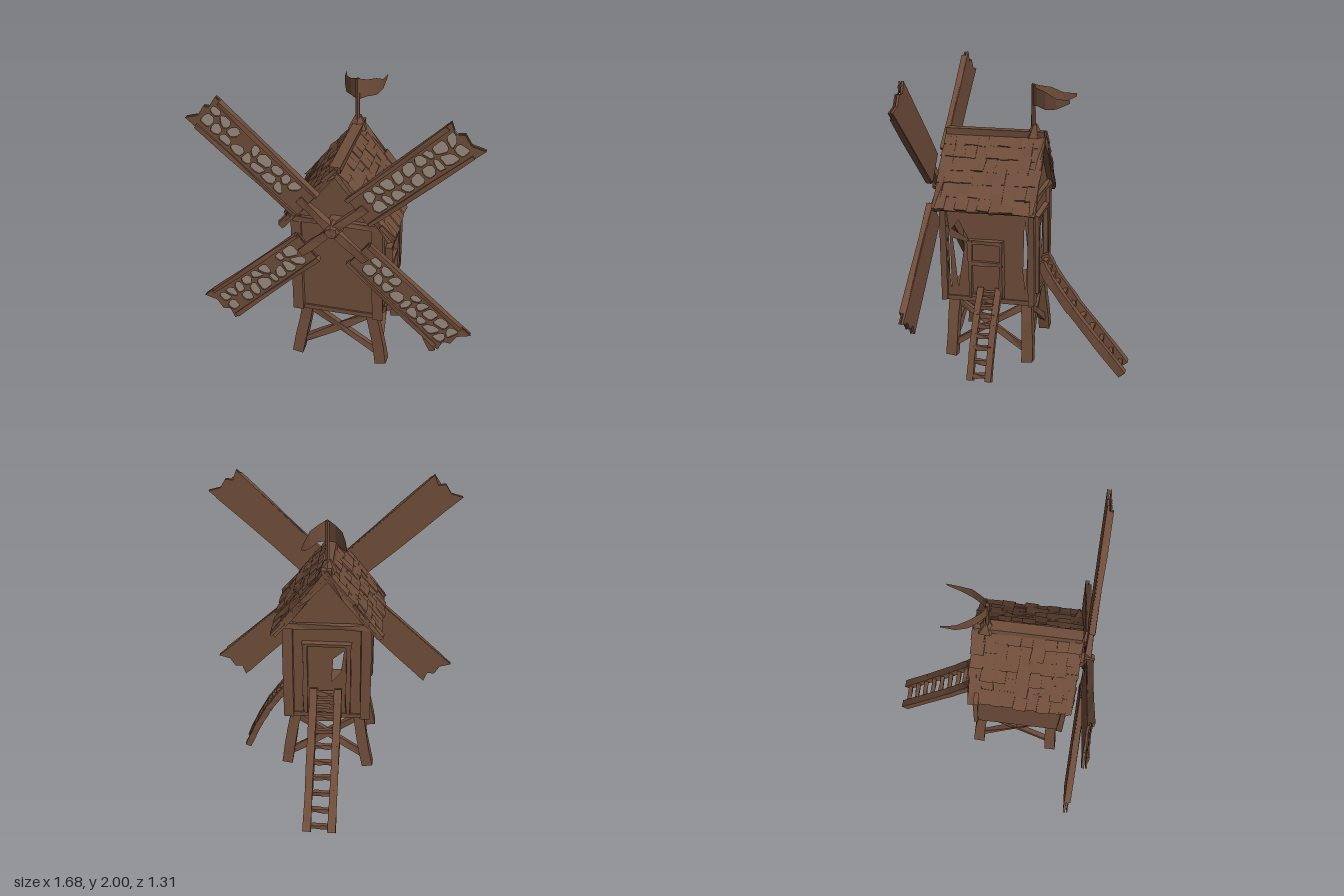
import * as THREE from 'three';

const wood = new THREE.MeshStandardMaterial({ color: 0x6f4d3a, flatShading: true });
wood.name = 'brownWood';
const cloth = new THREE.MeshStandardMaterial({ color: 0x9a8d80, flatShading: true });
cloth.name = 'greyCloth';
const woodBoth = wood.clone();
woodBoth.name = 'brownWoodThin';
woodBoth.side = THREE.DoubleSide;

const V = (x, y, z) => new THREE.Vector3(x, y, z);
let seed = 7;
const rnd = () => (seed = (seed * 16807) % 2147483647) / 2147483647;
const vary = (a) => (rnd() - 0.5) * 2 * a;

function add(parent, name, geo, mat = wood) {
  const m = new THREE.Mesh(geo, mat);
  m.name = name;
  parent.add(m);
  return m;
}

// Moves vertices a little, keeping shared corners together
function rough(geo, amt) {
  const p = geo.attributes.position, s = rnd() * 50;
  const h = (x, y, z, k) => Math.sin(x * 91.7 + y * 57.3 + z * 73.1 + k + s) * amt;
  for (let i = 0; i < p.count; i++) {
    const x = p.getX(i), y = p.getY(i), z = p.getZ(i);
    p.setXYZ(i, x + h(x, y, z, 1), y + h(x, y, z, 3), z + h(x, y, z, 5));
  }
  geo.computeVertexNormals();
  return geo;
}

// Squared timber from a to b; w is measured along the side vector
function beam(parent, name, a, b, w, d, side = V(1, 0, 0), amt = 0.004) {
  const dir = b.clone().sub(a), len = dir.length();
  dir.normalize();
  const x = side.clone().addScaledVector(dir, -side.dot(dir)).normalize();
  const geo = rough(new THREE.BoxGeometry(w, len, d, 1, 3, 1), amt);
  geo.applyMatrix4(new THREE.Matrix4().makeBasis(x, dir, x.clone().cross(dir)));
  geo.translate((a.x + b.x) / 2, (a.y + b.y) / 2, (a.z + b.z) / 2);
  return add(parent, name, geo);
}

const poly = (pts, C = THREE.Shape) => new C(pts.map(([x, y]) => new THREE.Vector2(x, y)));

// Flat wall facing outward, with broken gaps
function wall(parent, name, outline, holes, angle, x, z) {
  const s = poly(outline);
  s.holes = holes.map((h) => poly(h, THREE.Path));
  const m = add(parent, name, new THREE.ShapeGeometry(s));
  m.rotation.y = angle;
  m.position.set(x, 0, z);
}

function buildBody(g) {
  const rect = (a, b) => [[a, 0.54], [b, 0.54], [b, 1.2], [a, 1.2]];
  const gable = [[-0.26, 0.54], [0.26, 0.54], [0.26, 1.24], [0, 1.55], [-0.26, 1.24]];
  wall(g, 'frontWall', gable, [], 0, 0, 0.505);
  wall(g, 'backWall', gable, [[[0.03, 0.8], [0.09, 0.87], [0.11, 1.03], [0.04, 0.97]]], Math.PI, 0, -0.055);
  wall(g, 'rightWall', rect(-0.07, 0.52), [], -Math.PI / 2, -0.27, 0);
  wall(g, 'leftWall', rect(-0.52, 0.07), [
    [[-0.455, 1.01], [-0.35, 0.95], [-0.41, 1.07]],
    [[-0.45, 0.95], [-0.37, 0.93], [-0.42, 0.62]],
    [[-0.488, 1.13], [-0.468, 0.95], [-0.465, 0.6], [-0.485, 0.8]],
    [[0.005, 0.75], [0.02, 0.62], [0.035, 0.9], [0.015, 1.1]],
  ], Math.PI / 2, 0.26, 0);
  const floor = new THREE.BoxGeometry(0.54, 0.03, 0.58);
  floor.translate(0, 0.545, 0.225);
  add(g, 'floor', floor);

  // Corner posts and cross rails
  for (const s of [-1, 1]) {
    for (const z of [0.508, -0.06]) beam(g, 'cornerPost', V(s * 0.25, 0.53, z), V(s * 0.25, 1.23, z), 0.065, 0.035);
    beam(g, 'eaveRail', V(s * 0.255, 1.19, -0.07), V(s * 0.255, 1.19, 0.52), 0.04, 0.05);
  }
  for (const z of [0.512, -0.065]) beam(g, 'crossRail', V(-0.27, 1.21, z), V(0.27, 1.21, z), 0.035, 0.035, V(0, 1, 0));

  // Side door
  const door = new THREE.BoxGeometry(0.02, 0.36, 0.2);
  door.translate(0.265, 0.76, 0.23);
  add(g, 'sideDoor', door);
  for (const z of [0.13, 0.33]) beam(g, 'doorJamb', V(0.28, 0.57, z), V(0.28, 0.95, z), 0.025, 0.05, V(0, 0, 1));
  for (const y of [0.585, 0.8, 0.94]) beam(g, 'doorRail', V(0.278, y, 0.12), V(0.278, y, 0.34), 0.025, 0.045, V(0, 1, 0), 0.002);
  // Back door frame
  for (const x of [-0.14, 0.14]) beam(g, 'backJamb', V(x, 0.57, -0.065), V(x, 1.08, -0.065), 0.03, 0.04);
  beam(g, 'backLintel', V(-0.16, 1.08, -0.065), V(0.16, 1.08, -0.065), 0.03, 0.04, V(0, 1, 0));
}

function buildStand(g) {
  const top = (sx, sz) => V(sx * 0.205, 0.55, 0.215 + sz * 0.235);
  const foot = (sx, sz) => V(sx * 0.275, 0.145, 0.215 + sz * 0.255);
  const on = (sx, sz, t) => foot(sx, sz).lerp(top(sx, sz), t);
  for (const sx of [-1, 1]) for (const sz of [-1, 1]) beam(g, 'leg', foot(sx, sz), top(sx, sz), 0.07, 0.07);
  for (const s of [-1, 1]) for (const k of [-1, 1]) {
    beam(g, 'crossBrace', on(-k, s, 0.18), on(k, s, 0.92), 0.03, 0.045, V(0, 0, 1));
    beam(g, 'sideBrace', on(s, -k, 0.18), on(s, k, 0.92), 0.03, 0.04);
  }
}

function buildRoof(g) {
  const base = new THREE.ExtrudeGeometry(poly([[-0.34, 1.165], [-0.32, 1.14], [0, 1.53], [0.32, 1.14], [0.34, 1.165], [0, 1.575]]),
    { depth: 0.63, bevelEnabled: false });
  base.translate(0, 0, -0.09);
  add(g, 'roofBase', base);
  const rows = 6, cols = 9, slope = Math.atan2(0.42, 0.335), len = 0.54;
  for (const s of [-1, 1]) {
    // Overlapping shingles
    for (let r = 0; r < rows; r++) for (let c = 0; c < cols; c++) {
      const geo = rough(new THREE.BoxGeometry(len / rows * 1.3, 0.018, 0.65 / cols + 0.006), 0.006);
      const m = add(g, 'shingle', geo);
      const t = (r + 0.5) / rows;
      m.position.set(s * (0.004 + 0.335 * t), 1.583 - 0.42 * t + vary(0.004), -0.097 + 0.645 * (c + 0.5) / cols);
      m.rotation.set(vary(0.06), vary(0.05), -s * (slope - 0.05 + vary(0.04)));
    }
    // Gable edge boards
    for (const z of [0.525, -0.075]) beam(g, 'gableBoard', V(s * 0.01, 1.55, z), V(s * 0.34, 1.15, z), 0.035, 0.045, V(0, 0, 1), 0.007);
  }
  beam(g, 'ridgeBeam', V(0, 1.583, -0.09), V(0, 1.583, 0.545), 0.065, 0.035);
  const cap = rough(new THREE.CylinderGeometry(0.018, 0.06, 0.08, 6), 0.005);
  cap.translate(0, 1.605, -0.025);
  add(g, 'poleBase', cap);
}

function buildFlag(g) {
  const pole = new THREE.CylinderGeometry(0.013, 0.015, 0.28, 6);
  pole.translate(0, 1.755, -0.015);
  add(g, 'flagPole', pole);
  // Two streamers swept back from the pole: x, z, bottom, top
  const rows = [[0, -0.005, 1.76, 1.9], [0.05, -0.045, 1.77, 1.88], [0.095, -0.11, 1.755, 1.865], [0.12, -0.18, 1.765, 1.83], [0.13, -0.265, 1.805, 1.825]];
  for (const s of [-1, 1]) {
    const geo = new THREE.PlaneGeometry(1, 1, rows.length - 1, 1), p = geo.attributes.position;
    rows.forEach(([x, z, lo, hi], i) => {
      p.setXYZ(i, s * x, hi, z);
      p.setXYZ(i + rows.length, s * x, lo, z);
    });
    geo.computeVertexNormals();
    add(g, 'flagStreamer', geo, woodBoth);
  }
}

// Irregular openings: cells of a shaken grid, shrunk to leave thin bars
function openings() {
  const n = 9, list = [], nodes = [];
  for (let i = 0; i <= n; i++) {
    nodes.push([-0.078, 0, 0.078].map((y) => [0.29 + i * 0.077 + vary(0.022), y + vary(y ? 0.006 : 0.022)]));
  }
  for (let i = 0; i < n; i++) for (let j = 0; j < 2; j++) {
    const q = [nodes[i][j], nodes[i + 1][j], nodes[i + 1][j + 1], nodes[i][j + 1]];
    const cx = q.reduce((a, p) => a + p[0], 0) / 4, cy = q.reduce((a, p) => a + p[1], 0) / 4;
    // Each corner is cut into two points
    const pts = q.flatMap((p, k) => [q[(k + 3) % 4], q[(k + 1) % 4]].map((o) => {
      const t = 0.12 + rnd() * 0.25;
      return [p[0] + (o[0] - p[0]) * t, p[1] + (o[1] - p[1]) * t];
    }));
    if (rnd() > 0.08) list.push(poly(pts.map(([x, y]) => [cx + (x - cx) * 0.84, cy + (y - cy) * 0.84]), THREE.Path));
  }
  return list;
}

function buildSails(g) {
  const hub = new THREE.Group();
  hub.name = 'sails';
  hub.position.set(0, 1.22, 0);
  g.add(hub);
  beam(hub, 'axle', V(0, 0, 0.48), V(0, 0, 0.625), 0.07, 0.07);
  const boss = rough(new THREE.CylinderGeometry(0.035, 0.06, 0.065, 8), 0.004);
  boss.rotateX(Math.PI / 2);
  boss.translate(0, 0, 0.617);
  add(hub, 'hub', boss);
  // Angle and which edge is the longer one
  for (const [deg, k] of [[43.4, 1], [136.6, -1], [223.2, 1], [316.8, -1]]) {
    const sail = new THREE.Group();
    sail.name = 'sail';
    sail.rotation.z = deg * Math.PI / 180;
    hub.add(sail);
    const out = [[0.2, -0.1], [0.5, -0.108], [0.8, -0.112], [1.042, -0.12], [1.0, -0.05], [1.015, 0.02], [0.975, 0.05],
      [1.004, 0.118], [0.7, 0.112], [0.4, 0.108], [0.22, 0.1]].map(([x, y]) => [x, y * k]);
    const back = new THREE.ExtrudeGeometry(poly(out), { depth: 0.014, bevelEnabled: false });
    back.translate(0, 0, 0.586);
    add(sail, 'sailBack', back);
    const sheet = new THREE.PlaneGeometry(0.76, 0.18);
    sheet.translate(0.61, 0, 0.606);
    add(sail, 'sailCloth', sheet, cloth);
    // Lattice over the cloth
    const shape = poly(out);
    shape.holes = openings();
    const lattice = new THREE.ExtrudeGeometry(shape, { depth: 0.008, bevelEnabled: false });
    lattice.translate(0, 0, 0.607);
    add(sail, 'sailLattice', lattice);
    // Edge boards and arm
    for (const s of [-1, 1]) beam(sail, 'sailEdge', V(0.21, s * 0.096, 0.608), V(0.97, s * 0.106, 0.608), 0.025, 0.036, V(0, 1, 0), 0.003);
    beam(sail, 'sailArm', V(0.02, 0, 0.608), V(0.27, 0, 0.608), 0.05, 0.036, V(0, 1, 0));
  }
}

// Ladder whose two rails follow a shallow curve
function ladder(g, name, pts, side, half, railW, railD, rungs) {
  const l = new THREE.Group();
  l.name = name;
  g.add(l);
  const curve = new THREE.CatmullRomCurve3(pts), n = 4;
  for (const s of [-1, 1]) for (let i = 0; i < n; i++) {
    const at = (t) => curve.getPoint(Math.min(t, 1)).addScaledVector(side, s * (half - railW / 2));
    beam(l, 'ladderRail', at(i / n), at((i + 1.04) / n), railW, railD, side, 0.002);
  }
  for (let i = 0; i < rungs; i++) {
    const c = curve.getPoint((i + 0.6) / rungs);
    const a = c.clone().addScaledVector(side, -half + railW / 2), b = c.clone().addScaledVector(side, half - railW / 2);
    a.y += vary(0.006);
    beam(l, 'ladderRung', a, b, 0.028, 0.028, V(0, 1, 0), 0.003);
  }
}

export function createModel() {
  const g = new THREE.Group();
  g.name = 'windmill';
  buildBody(g);
  buildStand(g);
  buildRoof(g);
  buildFlag(g);
  buildSails(g);
  ladder(g, 'backLadder', [V(0.005, 0.76, -0.08), V(0.005, 0.59, -0.175), V(0.005, 0.31, -0.395), V(0.005, 0.02, -0.63)], V(1, 0, 0), 0.105, 0.05, 0.055, 11);
  ladder(g, 'sideLadder', [V(0.28, 0.63, 0.205), V(0.37, 0.52, 0.205), V(0.47, 0.36, 0.205), V(0.575, 0.13, 0.205)], V(0, 0, 1), 0.078, 0.04, 0.042, 9);
  return g;
}
